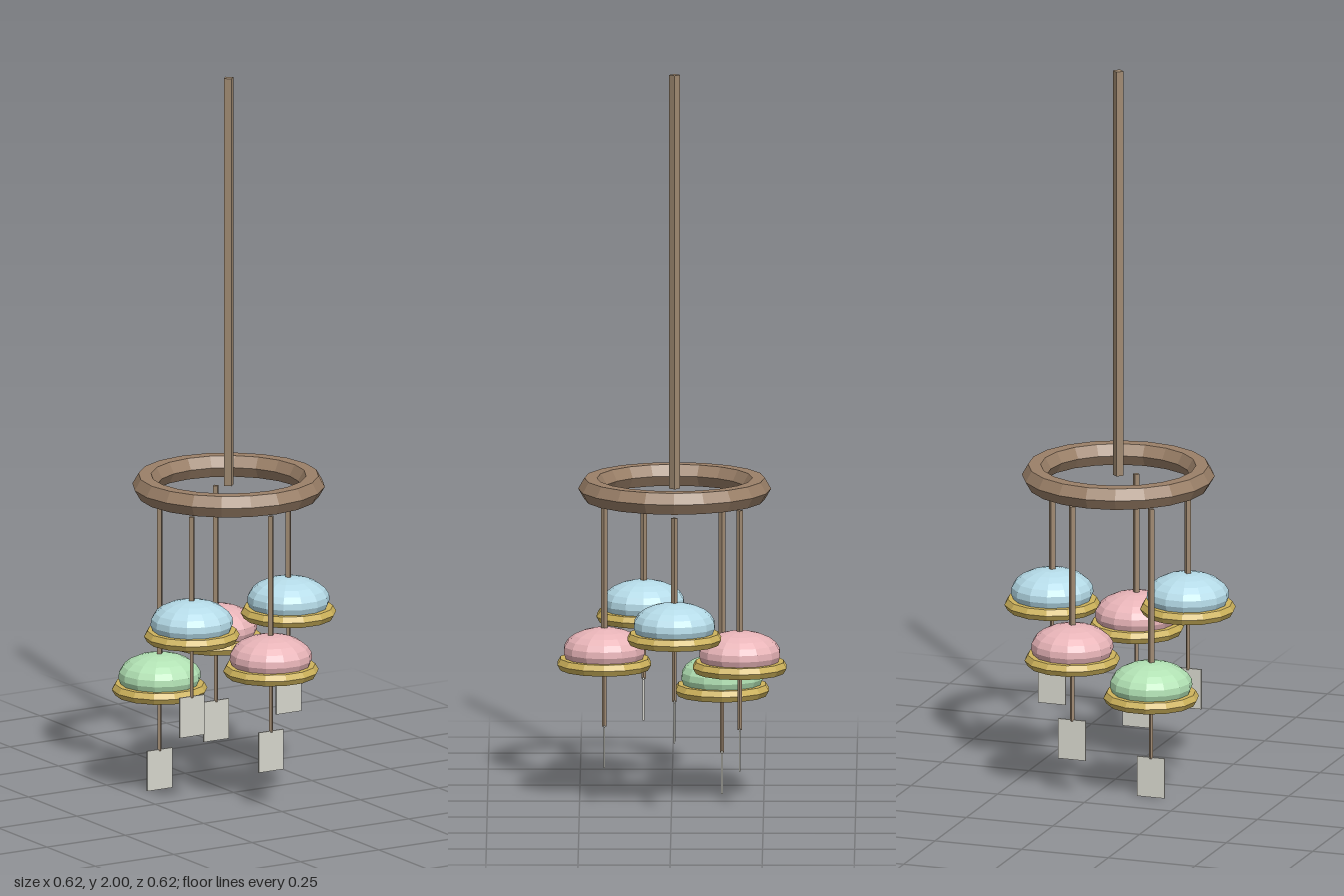
import * as THREE from 'three';

const mat = (color, side = THREE.FrontSide) =>
  new THREE.MeshStandardMaterial({ color, flatShading: true, side });

const WOOD = mat(0x9b8068);
const CORD = mat(0xa08a72);
const GOLD = mat(0xcfb45c);
const PAPER = mat(0xd6d5cc);
const BLUE = mat(0xb5dbe8, THREE.DoubleSide);
const PINK = mat(0xe8b4b8, THREE.DoubleSide);
const GREEN = mat(0xb2e2b4, THREE.DoubleSide);

function add(parent, name, geometry, material, x = 0, y = 0, z = 0) {
  const mesh = new THREE.Mesh(geometry, material);
  mesh.name = name;
  mesh.position.set(x, y, z);
  parent.add(mesh);
  return mesh;
}

// Upright four-sided cord between two heights
function cord(parent, name, radius, bottom, top, x = 0, z = 0) {
  return add(parent, name, new THREE.CylinderGeometry(radius, radius, top - bottom, 4),
    CORD, x, (top + bottom) / 2, z);
}

// Horizontal six-sided hoop
const hoop = (radius, tube, segments) =>
  new THREE.TorusGeometry(radius, tube, 6, segments).rotateX(Math.PI / 2);

// One wind bell: cord, open squashed dome, rim, inner cord and paper strip
function makeBell(glass, x, z, base) {
  const bell = new THREE.Group();
  bell.name = 'bell';
  bell.position.set(x, 0, z);
  const centre = base + 0.318;
  const dome = new THREE.SphereGeometry(0.113, 14, 8, 0, Math.PI * 2, 0, Math.PI * 0.7)
    .scale(1, 0.555, 1);
  cord(bell, 'bellCord', 0.009, centre + 0.055, 0.812);
  add(bell, 'dome', dome, glass, 0, centre, 0);
  add(bell, 'rim', hoop(0.1125, 0.018, 14), GOLD, 0, base + 0.282, 0);
  cord(bell, 'stripCord', 0.006, base + 0.108, centre);
  add(bell, 'paperStrip', new THREE.BoxGeometry(0.079, 0.112, 0.005), PAPER, 0, base + 0.056, 0);
  return bell;
}

export function createModel() {
  const model = new THREE.Group();
  model.name = 'windChime';
  const cx = -0.011, cz = -0.008;

  // Long hanging cord and wooden hoop
  cord(model, 'hangingCord', 0.015, 0.86, 2, cx, cz);
  add(model, 'hoop', hoop(0.228, 0.034, 20), WOOD, cx, 0.86, cz);

  // Five bells at three heights: glass, x, z, foot of the strip
  const bells = [
    [BLUE, 0.18, -0.008, 0.198],
    [PINK, 0.006, 0.183, 0.099],
    [BLUE, -0.181, 0.077, 0.198],
    [GREEN, -0.152, -0.136, 0],
    [PINK, 0.058, -0.185, 0.099],
  ];
  for (const b of bells) model.add(makeBell(...b));
  return model;
}
